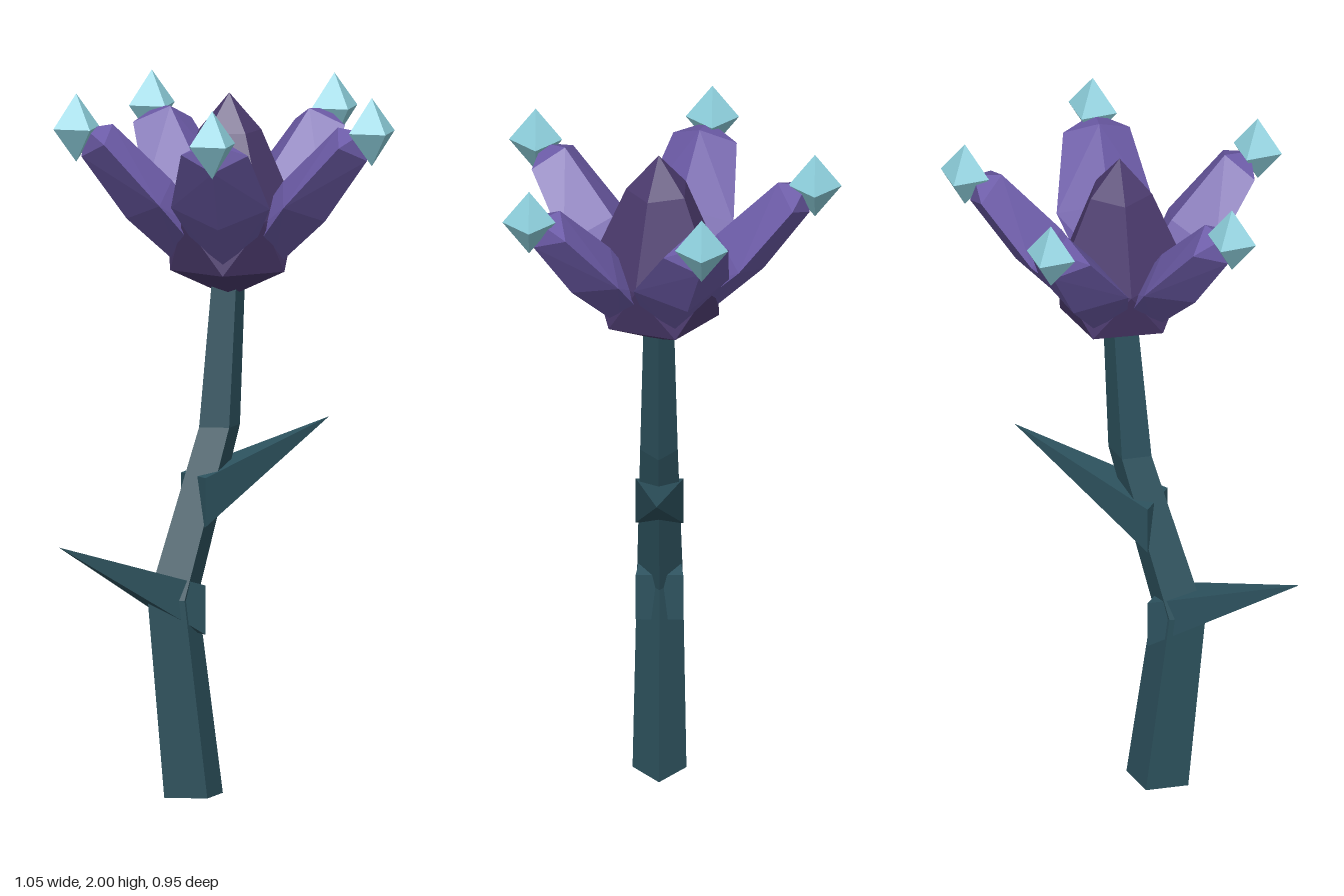
import * as THREE from 'three';
import { ConvexGeometry } from 'three/addons/geometries/ConvexGeometry.js';

const CX = 0.033, CZ = 0.038; // vertical axis of the flower head
const V = (x, y, z) => new THREE.Vector3(x, y, z);

function material(name, color) {
  const m = new THREE.MeshStandardMaterial({ color, flatShading: true });
  m.name = name;
  return m;
}

function part(name, geometry, mat) {
  const mesh = new THREE.Mesh(geometry, mat);
  mesh.name = name;
  return mesh;
}

// Bent four-sided stem: each ring is [centre x, y, half width]
function stemGeometry() {
  const rings = [[-0.084, 0, 0.096], [-0.152, 0.565, 0.082], [0.001, 1.045, 0.067], [0.031, 1.47, 0.054]];
  const g = new THREE.CylinderGeometry(1, 1, 3, 4, 3);
  const p = g.attributes.position;
  for (let i = 0; i < p.count; i++) {
    const [x, y, r] = rings[Math.round(p.getY(i) + 1.5)];
    p.setXYZ(i, x + p.getX(i) * r, y, CZ + p.getZ(i) * r * 0.79);
  }
  return g;
}

// Pyramid thorn with an upright rectangular base sunk through the stem
function thornGeometry(baseX, y0, y1, tipX, tipY) {
  const pts = [V(tipX, tipY, CZ)];
  for (const y of [y0, y1]) for (const s of [-1, 1]) pts.push(V(baseX, y, CZ + s * 0.067));
  return new ConvexGeometry(pts);
}

// Egg-shaped five-sided bud with a shallow cup below
function budGeometry() {
  const pts = [V(0, 1.99, 0), V(0, 1.41, 0)];
  const rings = [[0.092, 1.883, 0], [0.194, 1.645, 0], [0.17, 1.49, 0.5]]; // radius, y, twist
  for (const [r, y, twist] of rings) {
    for (let i = 0; i < 5; i++) {
      const a = (i + twist) * Math.PI * 0.4;
      pts.push(V(Math.sin(a) * r, y, Math.cos(a) * r));
    }
  }
  return new ConvexGeometry(pts);
}

// Petal leaning toward -z: diamond sections [inner d, y, outer d, y, half width] and a pointed tip
function petalGeometry() {
  const sections = [
    [0.04, 1.57, 0.135, 1.495, 0.065],
    [0.165, 1.745, 0.295, 1.64, 0.14],
    [0.335, 1.91, 0.425, 1.82, 0.095],
  ];
  const pts = [V(0, 1.9, -0.415)];
  for (const [di, yi, d0, y0, w] of sections) {
    const d = (di + d0) / 2, y = (yi + y0) / 2;
    pts.push(V(0, yi, -di), V(0, y0, -d0), V(w, y, -d), V(-w, y, -d));
  }
  return new ConvexGeometry(pts);
}

export function createModel() {
  const model = new THREE.Group();
  model.name = 'crystalFlower';
  const stemMat = material('dark teal stem', 0x2d525e);
  const budMat = material('deep purple bud', 0x4d3c70);
  const petalMat = material('purple petal', 0x6c5ba7);
  const crystalMat = material('pale cyan crystal', 0x8ed0dd);

  model.add(part('stem', stemGeometry(), stemMat));
  model.add(part('upperThorn', thornGeometry(-0.085, 0.77, 0.91, 0.36, 1.045), stemMat));
  model.add(part('lowerThorn', thornGeometry(-0.085, 0.465, 0.605, -0.525, 0.737), stemMat));

  // The head is turned very slightly on the stem
  const head = new THREE.Group();
  head.name = 'flowerHead';
  head.position.set(CX, 0, CZ);
  head.rotation.y = -0.018;
  head.add(part('bud', budGeometry(), budMat));

  // Five petals, each with a crystal at its tip; crystals all share one orientation
  const petalGeo = petalGeometry();
  const crystalGeo = new THREE.OctahedronGeometry(1).scale(0.075, 0.097, 0.075);
  for (let i = 0; i < 5; i++) {
    const a = i * Math.PI * 0.4;
    const petal = part('petal' + (i + 1), petalGeo, petalMat);
    petal.rotation.y = a;
    const crystal = part('crystal' + (i + 1), crystalGeo, crystalMat);
    crystal.position.set(-Math.sin(a) * 0.44, 1.903, -Math.cos(a) * 0.44);
    crystal.rotation.y = -head.rotation.y;
    head.add(petal, crystal);
  }
  model.add(head);
  return model;
}
